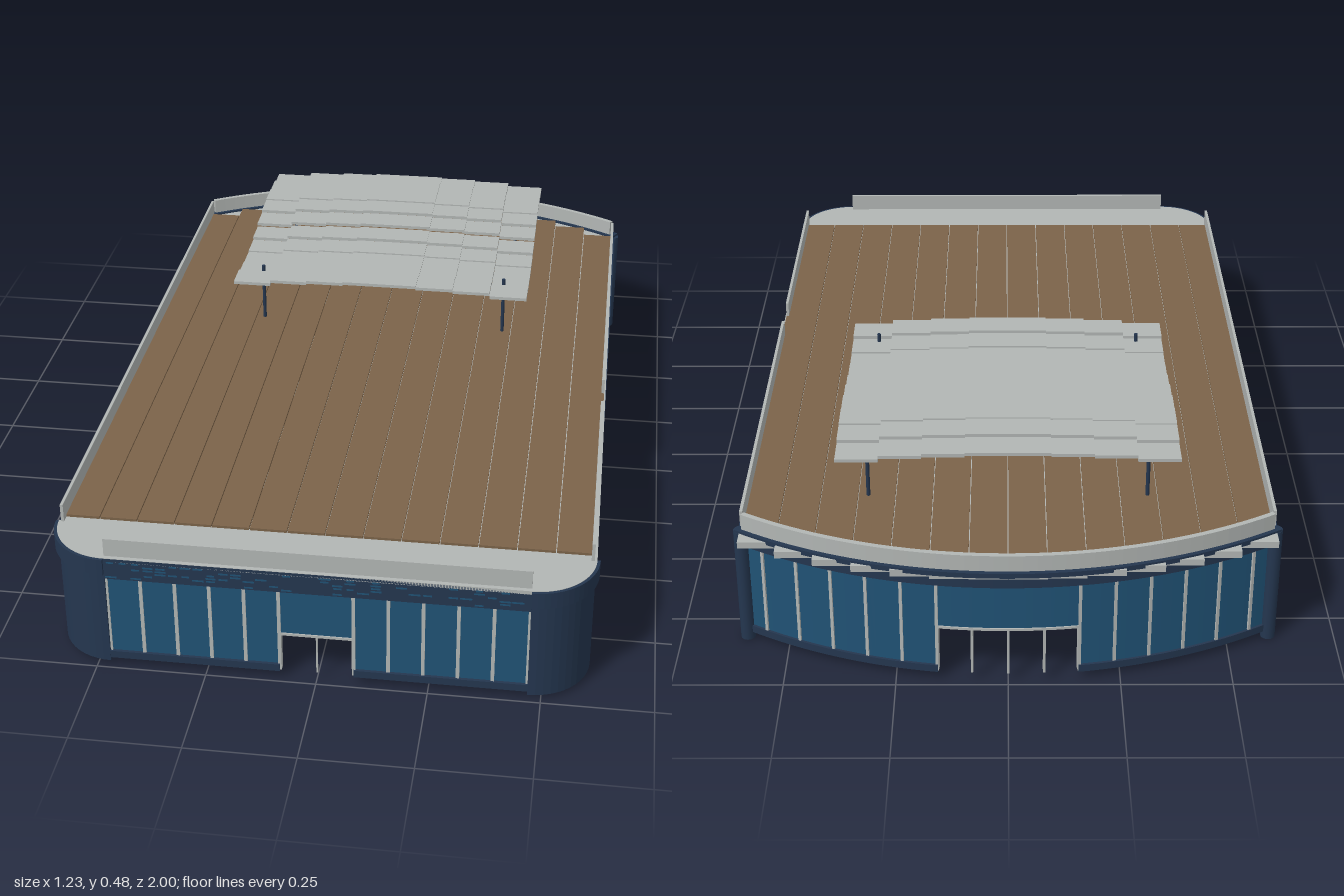
import * as THREE from 'three';
import { mergeGeometries } from 'three/addons/utils/BufferGeometryUtils.js';

const mat = (name, color) => {
  const m = new THREE.MeshStandardMaterial({ color });
  m.name = name;
  return m;
};

// Back wall arc: radius and centre depth
const R = 1.144, CZ = 0.154;
const backZ = x => CZ - Math.sqrt(R * R - x * x);

export function createModel() {
  const navy = mat('navy brick', 0x24364f);
  const blue = mat('blue glass', 0x205275);
  const grey = mat('pale grey', 0xb2b6b4);
  const brown = mat('brown decking', 0x7b6349);
  const model = new THREE.Group();

  let seed = 7;
  const rand = () => (seed = (seed * 16807) % 2147483647) / 2147483647;

  const add = (name, geo, material) => {
    const m = new THREE.Mesh(geo, material);
    m.name = name;
    model.add(m);
    return m;
  };
  const boxGeo = (x0, x1, y0, y1, z0, z1) =>
    new THREE.BoxGeometry(Math.abs(x1 - x0), y1 - y0, Math.abs(z1 - z0))
      .translate((x0 + x1) / 2, (y0 + y1) / 2, (z0 + z1) / 2);
  const box = (name, material, ...b) => add(name, boxGeo(...b), material);

  // Upright extrusion of a plan shape (shape y is -z)
  const upright = (shape, y0, y1, curveSegments) =>
    new THREE.ExtrudeGeometry(shape, { depth: y1 - y0, bevelEnabled: false, curveSegments })
      .rotateX(-Math.PI / 2).translate(0, y0, 0);
  const arcBand = (name, material, cx, cz, r, thick, a0, a1, y0, y1, seg) => {
    const s = new THREE.Shape();
    s.absarc(cx, -cz, r, a0, a1, false);
    s.absarc(cx, -cz, r - thick, a1, a0, true);
    return add(name, upright(s, y0, y1, seg), material);
  };
  // Band along the back curve between two x positions
  const backBand = (name, material, off, thick, x0, x1, y0, y1) =>
    arcBand(name, material, 0, CZ, R + off, thick,
      Math.PI / 2 - Math.asin(x1 / R), Math.PI / 2 - Math.asin(x0 / R), y0, y1, 20);

  // Scattered lighter bricks on a wall; place() puts a flat plate in position
  const bricks = (name, u0, u1, y0, y1, place) => {
    const list = [], row = 0.0075, step = 0.028;
    for (let y = y0 + row / 2; y < y1 - 0.002; y += row)
      for (let u = u0 + 0.016; u < u1 - 0.014; u += step)
        if (rand() < 0.27)
          list.push(place(new THREE.PlaneGeometry(0.015 + 0.012 * rand(), 0.0045), u, y));
    add(name, mergeGeometries(list), blue);
  };

  // Front facade
  for (const s of [-1, 1]) {
    box('frontGlass', blue, s * 0.083, s * 0.47, 0.03, 0.285, 0.97, 0.98);
    box('frontPlinth', navy, s * 0.083, s * 0.47, 0.018, 0.036, 0.966, 0.987);
    for (let i = 0; i < 6; i++) {
      const x = s * (0.083 + i * 0.0772);
      box('frontMullion', grey, x - 0.004, x + 0.004, i ? 0.036 : 0.02, 0.24, 0.967, 0.983);
    }
  }
  box('frontDoorHeadGlass', blue, -0.083, 0.083, 0.12, 0.285, 0.97, 0.98);
  box('frontDoorHead', grey, -0.083, 0.083, 0.115, 0.121, 0.968, 0.983);
  box('frontDoorBar', grey, -0.002, 0.002, 0.015, 0.12, 0.973, 0.977);
  box('frontFrieze', navy, -0.47, 0.47, 0.237, 0.29, 0.98, 0.99);
  bricks('frontFriezeBricks', -0.47, 0.47, 0.24, 0.288, (g, u, y) => g.translate(u, y, 0.992));

  // Rounded front corners with a projecting upper band
  for (const s of [-1, 1]) {
    const a0 = s > 0 ? -Math.PI / 2 : Math.PI;
    arcBand('frontCorner', navy, s * 0.47, 0.855, 0.133, 0.012, a0, a0 + Math.PI / 2, 0.01, 0.25, 6);
    arcBand('frontCornerBand', navy, s * 0.47, 0.855, 0.142, 0.022, a0, a0 + Math.PI / 2, 0.25, 0.29, 8);
  }

  // Side facades
  for (const s of [-1, 1]) {
    box('sideBrickWall', navy, s * 0.594, s * 0.603, 0.01, 0.29, 0.215, 0.855);
    box('sideWallLining', grey, s * 0.586, s * 0.594, 0.012, 0.285, 0.215, 0.855);
    box('sideFrieze', navy, s * 0.597, s * 0.604, 0.24, 0.29, -0.82, 0.215);
    const place = (g, u, y) => g.rotateY(s * Math.PI / 2).translate(s * 0.6058, y, u);
    bricks('sideWallBricks', 0.22, 0.85, 0.015, 0.288, place);
    bricks('sideFriezeBricks', -0.8, 0.22, 0.243, 0.288, place);
    for (const [z0, z1] of [[-0.385, 0.215], [-0.82, -0.638]]) {
      box('sideGlass', blue, s * 0.587, s * 0.597, 0.03, 0.285, z0, z1);
      box('sidePlinth', navy, s * 0.583, s * 0.604, 0.018, 0.036, z0, z1);
    }
    box('sideDoorHeadGlass', blue, s * 0.587, s * 0.597, 0.135, 0.285, -0.638, -0.385);
    box('sideDoorHead', grey, s * 0.585, s * 0.6, 0.13, 0.136, -0.638, -0.385);
    for (let i = 0; i < 13; i++) {
      if (i === 8 || i === 9) continue;
      const z = 0.214 - i * 0.0855;
      box('sideMullion', grey, s * 0.584, s * 0.6, i === 7 || i === 10 ? 0.02 : 0.036, 0.24, z - 0.003, z + 0.003);
    }
    add('rearCornerPost', new THREE.CylinderGeometry(0.017, 0.017, 0.29, 12)
      .translate(s * 0.598, 0.145, -0.815), navy);
  }

  // Curved back facade
  for (const [x0, x1] of [[-0.6, -0.157], [0.157, 0.6]]) {
    backBand('backGlass', blue, -0.008, 0.01, x0, x1, 0.03, 0.275);
    backBand('backPlinth', navy, -0.002, 0.02, x0, x1, 0.018, 0.036);
  }
  backBand('backDoorHeadGlass', blue, -0.008, 0.01, -0.157, 0.157, 0.14, 0.275);
  backBand('backDoorHead', grey, -0.005, 0.015, -0.157, 0.157, 0.135, 0.141);
  backBand('backFrieze', navy, 0, 0.012, -0.6, 0.6, 0.252, 0.278);
  backBand('backCornice', navy, 0.01, 0.03, -0.607, 0.607, 0.284, 0.296);
  backBand('backParapet', grey, 0, 0.012, -0.595, 0.595, 0.29, 0.335);
  const backBar = (name, x, y0, y1, w) => {
    const m = box(name, grey, -w / 2, w / 2, y0, y1, -0.008, 0.008);
    m.position.set(x, 0, backZ(x) + 0.013);
    m.rotation.y = -Math.asin(x / R);
  };
  for (const s of [-1, 1])
    for (let i = 0; i < 6; i++)
      backBar('backMullion', s * (0.157 + i * 0.078), i ? 0.036 : 0.02, 0.252, 0.007);
  for (const x of [-0.08, 0, 0.08]) backBar('backDoorBar', x, 0.02, 0.14, 0.005);

  // Roof slab with rounded front
  const slab = new THREE.Shape();
  slab.moveTo(-0.6, 0.8);
  slab.lineTo(-0.6, -0.855);
  slab.absarc(-0.47, -0.855, 0.135, Math.PI, Math.PI * 1.5, false);
  slab.absarc(0.47, -0.855, 0.135, -Math.PI / 2, 0, false);
  slab.lineTo(0.6, 0.8);
  add('roofSlab', upright(slab, 0.282, 0.291, 8), grey);

  // Stepped slab ends and decking, strip by strip
  const w = 0.6 / 7;
  for (const s of [-1, 1])
    for (let k = 0; k < 7; k++) {
      const a = s * k * w, b = s * (k + 1) * w;
      box('slabStep', grey, a, b, 0.275, 0.291, backZ(a), -0.78);
      box('deckPlank', brown, a + s * 0.001, b - s * 0.001, 0.291, 0.297, backZ(b) + 0.02, 0.84);
    }

  // Parapets
  box('frontParapet', grey, -0.47, 0.47, 0.29, 0.335, 0.972, 0.98);
  box('leftParapetFront', grey, 0.592, 0.599, 0.29, 0.335, 0.235, 0.86);
  box('leftParapetRear', grey, 0.592, 0.599, 0.29, 0.335, -0.81, 0.13);
  box('rightParapet', grey, -0.599, -0.592, 0.29, 0.335, -0.81, 0.86);

  // Wavy roof canopy made from stepped panels
  const rise = [0.016, 0.013, 0.009, 0], cw = 0.385 / 4, rows = 10, rl = 0.685 / rows;
  const panels = [];
  for (let r = 0; r < rows; r++) {
    const y = 0.44 - 0.018 * Math.sin((r + 0.5) / rows * Math.PI * 2);
    const z = -0.09 - r * rl;
    for (const s of [-1, 1])
      rise.forEach((h, c) => panels.push(
        boxGeo(s * c * cw, s * (c + 1) * cw, y + h - 0.004, y + h + 0.004, z + 0.001, z - rl - 0.001)));
  }
  add('canopy', mergeGeometries(panels), grey);
  for (const x of [-0.32, 0.32])
    for (const z of [-0.17, -0.68])
      add('canopyPost', new THREE.CylinderGeometry(0.0045, 0.0045, 0.16, 8).translate(x, 0.37, z), navy);

  return model;
}
